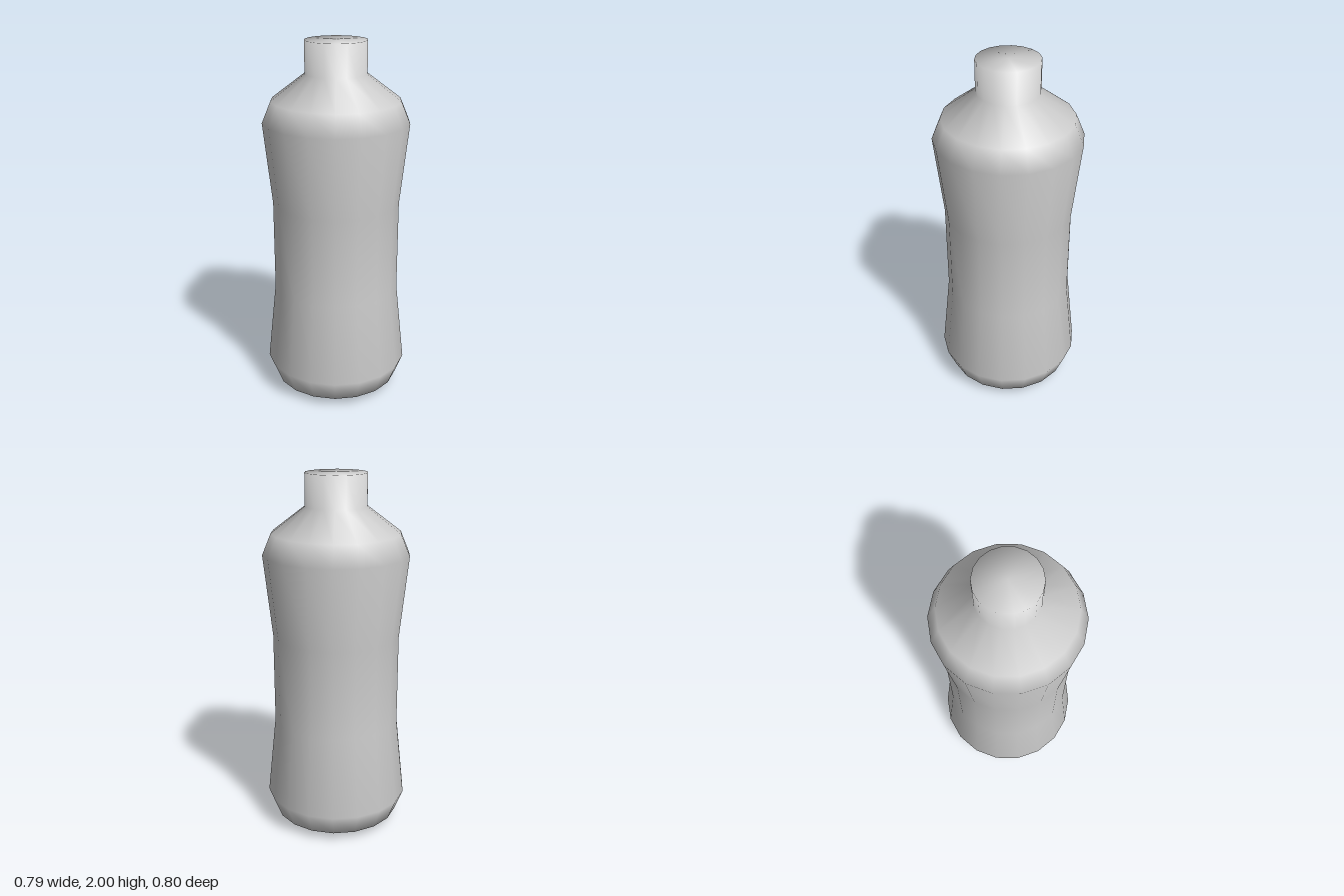
import * as THREE from 'three';

// Outline from the centre of the base to the centre of the neck's top: [radius, height]
const outline = [
  [0, 0], [0.235, 0],                 // base
  [0.352, 0.05], [0.4, 0.17],         // rounded foot
  [0.352, 0.62], [0.352, 1.12],       // waist grip
  [0.4, 1.57], [0.352, 1.685],        // shoulder
  [0.168, 1.825], [0.168, 2], [0, 2], // neck and closed top
];

export function createModel() {
  const group = new THREE.Group();
  group.name = 'bottle';

  const grey = new THREE.MeshStandardMaterial({ color: 0xcccccc });
  grey.name = 'light grey';

  // Smooth bottle with eighteen sides
  const points = outline.map(([r, y]) => new THREE.Vector2(r, y));
  const bottle = new THREE.Mesh(new THREE.LatheGeometry(points, 18), grey);
  bottle.name = 'bottleBody';
  group.add(bottle);

  return group;
}
